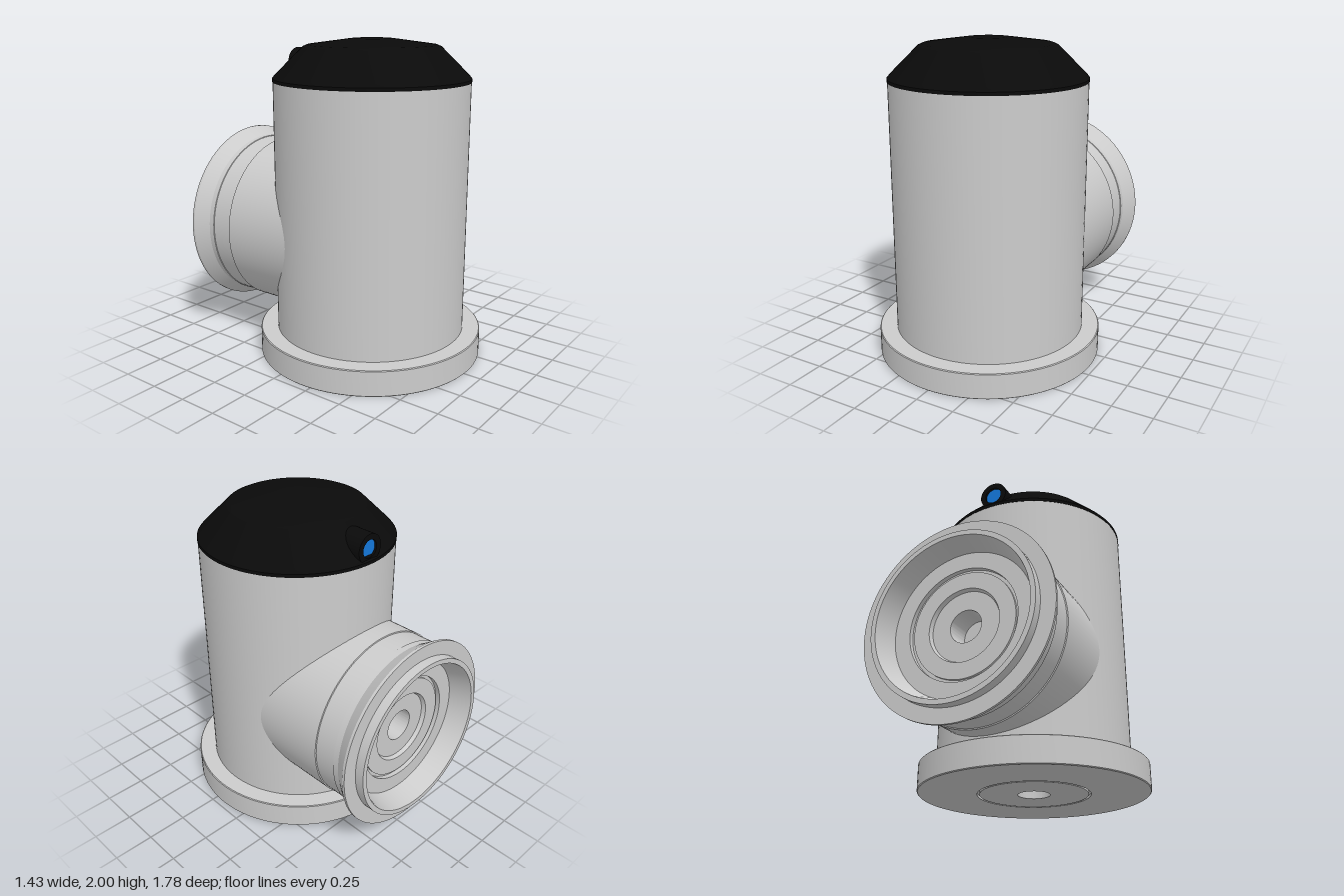
import * as THREE from 'three';
import { toCreasedNormals } from 'three/addons/utils/BufferGeometryUtils.js';

const AXIS_Z = 0.178; // centre of the upright housing
const PORT_Y = 0.763; // height of the side port axis

const grey = new THREE.MeshStandardMaterial({ color: 0xcccccc });
const black = new THREE.MeshStandardMaterial({ color: 0x0a0a0a });
const blue = new THREE.MeshStandardMaterial({ color: 0x1478dc });

// Turned part: profile of [radius, height], with sharp edges kept
function turned(name, profile, material, segments = 96) {
  const points = profile.map(([r, h]) => new THREE.Vector2(r, h));
  const geometry = toCreasedNormals(new THREE.LatheGeometry(points, segments), 0.35);
  const mesh = new THREE.Mesh(geometry, material);
  mesh.name = name;
  return mesh;
}

// Turned part whose profile height runs towards the back (-z)
function turnedBack(name, profile, material, y, segments) {
  const mesh = turned(name, profile, material, segments);
  mesh.geometry.rotateX(-Math.PI / 2);
  mesh.position.y = y;
  return mesh;
}

export function createModel() {
  const model = new THREE.Group();
  model.name = 'housing';

  // Upright parts share one axis
  const upright = new THREE.Group();
  upright.name = 'uprightBody';
  upright.position.z = AXIS_Z;
  model.add(upright);

  // Base flange with a ring groove and a central bore underneath
  upright.add(turned('baseFlange', [
    [0, 0.12], [0.1, 0.12], [0.1, 0], [0.335, 0], [0.335, 0.015], [0.35, 0.015], [0.35, 0],
    [0.71, 0], [0.715, 0.005], [0.715, 0.16], [0.71, 0.165], [0, 0.165],
  ], grey));

  upright.add(turned('bodyCylinder', [[0.605, 0.16], [0.605, 1.75]], grey));

  // Chamfered cap
  upright.add(turned('cap', [
    [0, 1.745], [0.607, 1.745], [0.607, 1.765], [0.59, 1.785],
    [0.42, 1.952], [0.395, 1.963], [0.14, 1.998], [0.12, 2], [0, 2],
  ], black));

  // Side port: pipe, flared collar, rim, and stepped recess with a bore
  model.add(turnedBack('sidePort', [
    [0.553, 0], [0.553, 0.548], [0.546, 0.55], [0.546, 0.69], [0.55, 0.692],
    [0.55, 0.73], [0.605, 0.815], [0.605, 0.832], [0.515, 0.832], [0.515, 0.89],
    [0.485, 0.89], [0.445, 0.75], [0.345, 0.75], [0.345, 0.72], [0.325, 0.72], [0.325, 0.735],
    [0.225, 0.735], [0.215, 0.71], [0.1, 0.71], [0.1, 0.55], [0, 0.55],
  ], grey, PORT_Y));

  // Cable gland on the back of the cap, with a coloured socket
  const gland = new THREE.Group();
  gland.name = 'cableGland';
  gland.add(turnedBack('glandSleeve', [
    [0, 0.15], [0.09, 0.15], [0.09, 0.42], [0.055, 0.42], [0.055, 0.405],
  ], black, 1.836, 40));
  gland.add(turnedBack('glandSocket', [[0.055, 0.405], [0, 0.405]], blue, 1.836, 40));
  model.add(gland);

  return model;
}
